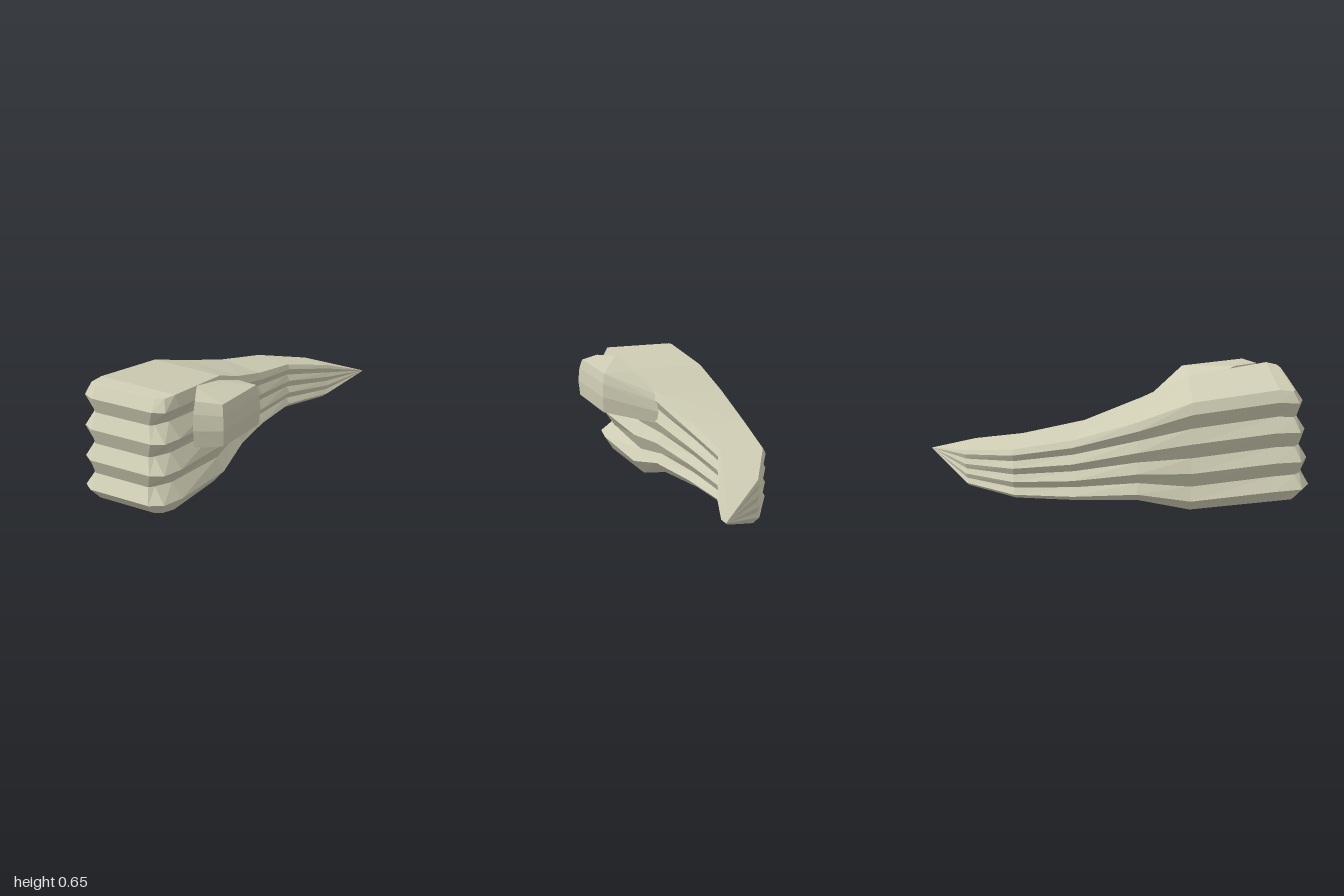
import * as THREE from 'three';

const material = new THREE.MeshStandardMaterial({ color: 0xcfcdb4, flatShading: true });

// Skin a list of equal-length rings (counterclockwise seen from the first one) and cap both ends
function loft(name, rings) {
  const pos = [];
  const quad = (a, b, c, d) => [a, b, c, a, c, d].forEach((p) => pos.push(...p));
  const n = rings[0].length;
  const last = rings[rings.length - 1];
  for (let i = 0; i < rings.length - 1; i++) {
    for (let j = 0; j < n; j++) {
      const k = (j + 1) % n;
      quad(rings[i][j], rings[i + 1][j], rings[i + 1][k], rings[i][k]);
    }
  }
  for (let j = 0; j < n / 2 - 1; j++) {
    const q = [j, j + 1, n - 2 - j, n - 1 - j];
    quad(...q.map((k) => rings[0][k]));
    quad(...q.reverse().map((k) => last[k]));
  }
  const geometry = new THREE.BufferGeometry();
  geometry.setAttribute('position', new THREE.Float32BufferAttribute(pos, 3));
  geometry.computeVertexNormals();
  const mesh = new THREE.Mesh(geometry, material);
  mesh.name = name;
  return mesh;
}

// Height fractions of the finger contour: top, ridge, groove, ... ridge, bottom
const LEVELS = [1, 0.905, 0.765, 0.645, 0.5, 0.38, 0.24, 0.125, 0];
// Setback of each level on the knuckle face
const SETBACK = [0.1, 0.06, 0.085, 0.04, 0.065, 0.02, 0.05, 0, 0.06];

// One ribbed cross-section between a left and a right edge point
function section({ l, r, top, bottom, groove = [0.03, 0.03], edge = [0.02, 0.05], lean = 0 }) {
  const across = new THREE.Vector2(r[0] - l[0], r[1] - l[1]).normalize();
  const side = (p, sign, depth) => LEVELS.map((f, k) => {
    let inset = k % 2 === 0 ? depth : 0;
    if (k === 0) inset = edge[0];
    if (k === 8) inset = edge[1];
    const back = SETBACK[k] * lean;
    return [
      p[0] + sign * across.x * inset + across.y * back,
      bottom + f * (top - bottom),
      p[1] + sign * across.y * inset - across.x * back,
    ];
  });
  return [...side(l, 1, groove[0]), ...side(r, -1, groove[1]).reverse()];
}

export function createModel() {
  const group = new THREE.Group();
  group.name = 'fist';

  // Fist with four fingers, running back into a tapering curved forearm
  const sections = [
    { l: [-0.02, 1.0], r: [0.28, 0.88], top: 0.648, bottom: 0.075, groove: [0, 0.03], edge: [0, 0.01], lean: 1 },
    { l: [-0.085, 0.98], r: [0.32, 0.82], top: 0.65, bottom: 0.07, groove: [0.035, 0.07], edge: [0.02, 0.04], lean: 0.7 },
    { l: [-0.125, 0.85], r: [0.3, 0.7], top: 0.655, bottom: 0.052, groove: [0.035, 0.06], edge: [0.02, 0.05] },
    { l: [-0.25, 0.46], r: [0.15, 0.33], top: 0.59, bottom: 0, groove: [0.03, 0.04], edge: [0.02, 0.06] },
    { l: [-0.335, 0.21], r: [0.04, 0.12], top: 0.49, bottom: 0.06 },
    { l: [-0.41, -0.1], r: [-0.1, -0.14], top: 0.385, bottom: 0.048 },
    { l: [-0.45, -0.4], r: [-0.21, -0.44], top: 0.315, bottom: 0.04, groove: [0.02, 0.02], edge: [0.015, 0.04] },
    { l: [-0.37, -0.7], r: [-0.19, -0.72], top: 0.24, bottom: 0.035, groove: [0.012, 0.012], edge: [0.01, 0.03] },
  ].map(section);
  sections.push(sections[0].map(() => [-0.17, 0.135, -1]));
  group.add(loft('handAndForearm', sections));

  // Thumb pressed against the side: x, z, top and bottom height of each corner
  const corners = [
    [0.05, 0.4, 0.575, 0.36], [0.24, 0.57, 0.632, 0.36], [0.355, 0.67, 0.625, 0.4],
    [0.45, 0.57, 0.612, 0.41], [0.32, 0.24, 0.58, 0.37], [0.03, 0.12, 0.485, 0.33],
  ];
  const centre = [0.22, 0.42];
  const thumb = [[0, 0.9], [0.25, 0.97], [0.6, 1], [1, 0.96]].map(([drop, scale]) =>
    corners.map(([x, z, top, bottom]) => [
      centre[0] + (x - centre[0]) * scale,
      top + (bottom - top) * drop,
      centre[1] + (z - centre[1]) * scale,
    ]));
  group.add(loft('thumb', thumb));

  return group;
}
